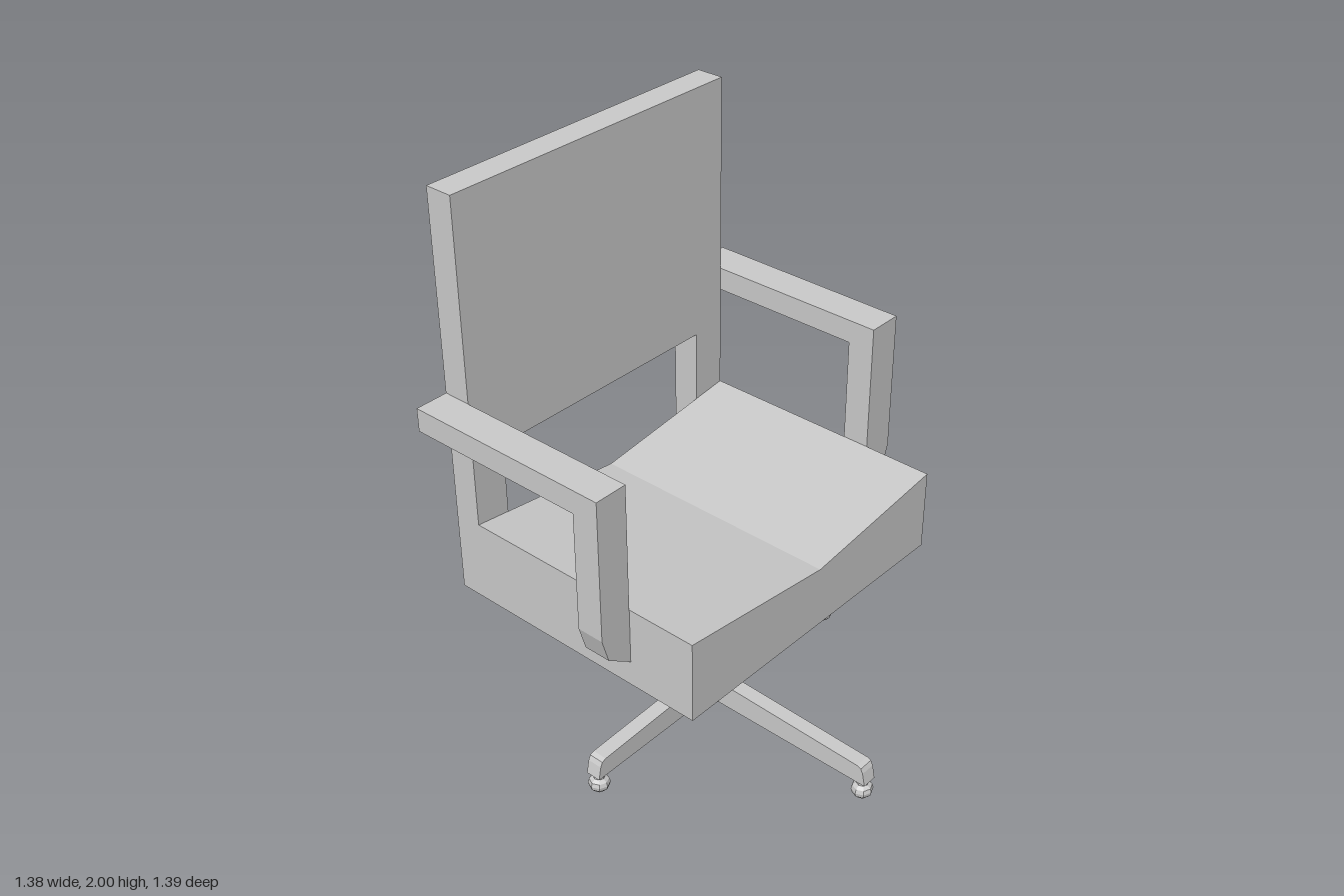
import * as THREE from 'three';

const material = new THREE.MeshStandardMaterial({ color: 0xcccccc, flatShading: true, side: THREE.DoubleSide });
const CX = 0.013; // pedestal axis

function add(parent, name, geometry, x = 0, y = 0, z = 0) {
  const mesh = new THREE.Mesh(geometry, material);
  mesh.name = name;
  mesh.position.set(x, y, z);
  parent.add(mesh);
  return mesh;
}

// Solid with an outline in x/y, running from z0 to z1
function prism(points, z0, z1) {
  const shape = new THREE.Shape(points.map(([x, y]) => new THREE.Vector2(x, y)));
  return new THREE.ExtrudeGeometry(shape, { depth: z1 - z0, bevelEnabled: false }).translate(0, 0, z0);
}

function addArm(parent, name, side, inner, outer) {
  const arm = new THREE.Group();
  arm.name = name;
  const mid = side * (inner + outer) / 2;
  add(arm, 'armRail', new THREE.BoxGeometry(outer - inner, 0.08, 0.735), mid, 1.285, -0.1585);
  // Post, tucked in under the side of the seat
  const outline = [[inner, 0.688], [outer - 0.025, 0.75], [outer, 0.835], [outer, 1.245], [inner, 1.245]]
    .map(([x, y]) => [side * x, y]);
  add(arm, 'armPost', prism(outline, 0.115, 0.209));
  parent.add(arm);
}

function addLeg(parent, name, angle, length) {
  const leg = new THREE.Group();
  leg.name = name;
  leg.position.x = CX;
  leg.rotation.y = angle;
  const outline = [[0, 0.075], [length, 0.075], [length - 0.01, 0.123], [length - 0.018, 0.14],
    [length - 0.034, 0.146], [0.07, 0.165], [0, 0.165]];
  add(leg, 'legBeam', prism(outline, -0.027, 0.027));
  // Rounded caster with a short stem
  const profile = [[0, 0], [0.022, 0.006], [0.034, 0.02], [0.037, 0.034], [0.033, 0.048], [0.02, 0.058],
    [0.02, 0.078], [0, 0.078]].map(([r, y]) => new THREE.Vector2(r, y));
  add(leg, 'caster', new THREE.LatheGeometry(profile, 8), length - 0.027);
  parent.add(leg);
}

export function createModel() {
  const chair = new THREE.Group();
  chair.name = 'officeChair';

  // Seat with a shallow V-shaped top
  add(chair, 'seat', prism([[-0.577, 0.6], [0.568, 0.6], [0.568, 0.884], [CX, 0.815], [-0.577, 0.884]], -0.43, 0.453));

  // Backrest panel standing on two uprights
  add(chair, 'backrest', prism([[-0.577, 0.6], [-0.452, 0.6], [-0.452, 1.122], [0.443, 1.122],
    [0.443, 0.6], [0.568, 0.6], [0.568, 2], [-0.577, 2]], -0.527, -0.43));

  addArm(chair, 'leftArm', 1, 0.568, 0.69);
  addArm(chair, 'rightArm', -1, 0.577, 0.693);

  // Stepped pedestal
  add(chair, 'seatPlate', new THREE.BoxGeometry(0.15, 0.032, 0.15), CX, 0.585, 0);
  for (const [name, radius, y0, y1] of [
    ['hub', 0.075, 0.07, 0.28], ['columnSleeve', 0.064, 0.28, 0.49], ['columnRod', 0.049, 0.49, 0.575]]) {
    add(chair, name, new THREE.CylinderGeometry(radius, radius, y1 - y0, 8), CX, (y0 + y1) / 2, 0);
  }

  // Four legs with casters
  addLeg(chair, 'leftLeg', 0, 0.662);
  addLeg(chair, 'backLeg', Math.PI / 2, 0.687);
  addLeg(chair, 'rightLeg', Math.PI, 0.566);
  addLeg(chair, 'frontLeg', -Math.PI / 2, 0.687);

  return chair;
}
